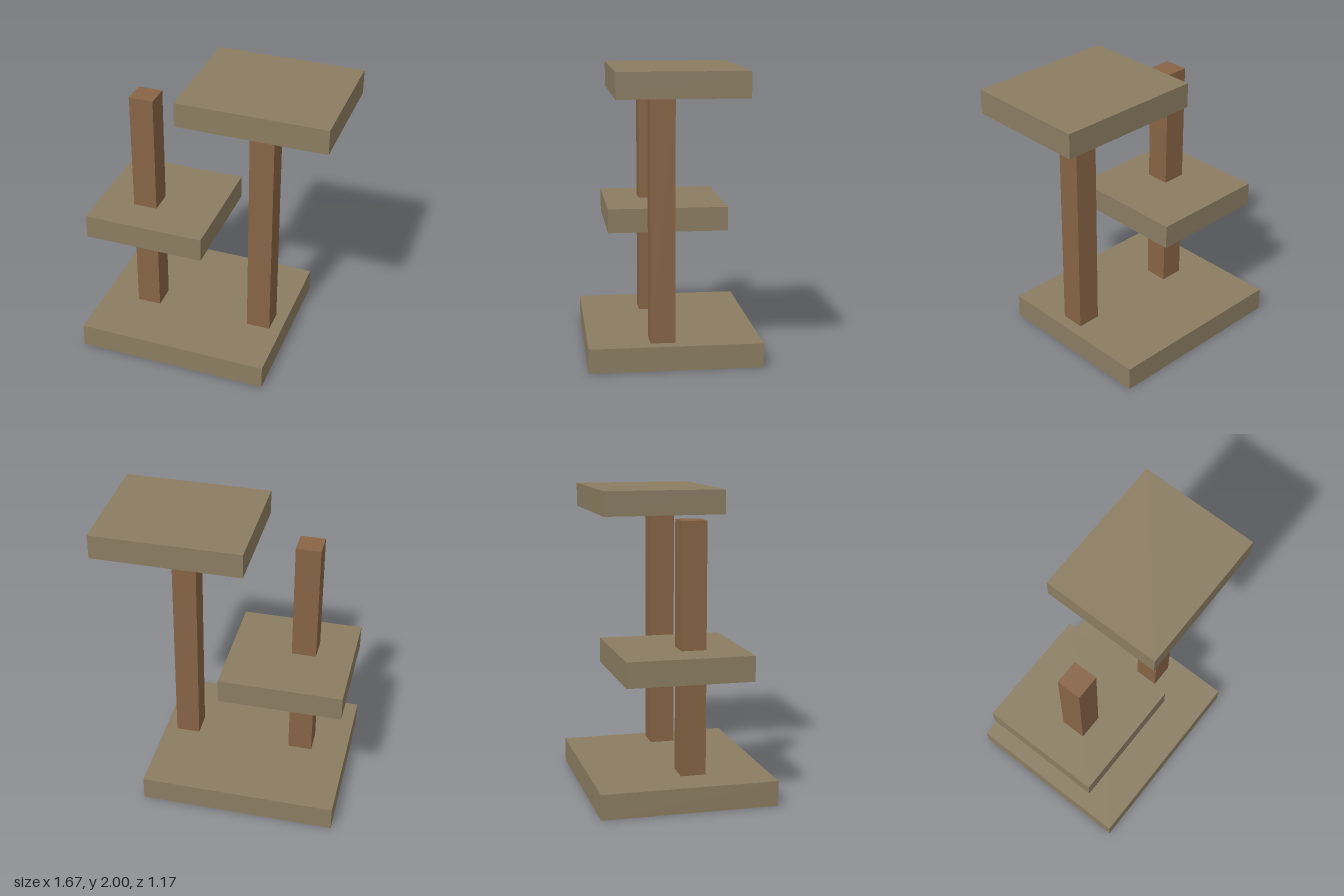
import * as THREE from 'three';

const UNIT = 1 / 12; // the whole tower sits on a 24-step grid

export function createModel() {
  const group = new THREE.Group();
  const carpet = new THREE.MeshStandardMaterial({ color: 0x8b7d62, flatShading: true });
  const wood = new THREE.MeshStandardMaterial({ color: 0x876446, flatShading: true });

  // Box spanning the given [min, max] ranges, in grid steps
  function addBox(name, material, x, y, z) {
    const size = [x, y, z].map(([a, b]) => (b - a) * UNIT);
    const centre = [x, y, z].map(([a, b]) => ((a + b) / 2) * UNIT);
    const mesh = new THREE.Mesh(new THREE.BoxGeometry(...size), material);
    mesh.position.set(...centre);
    mesh.name = name;
    group.add(mesh);
  }

  // Carpeted platforms
  addBox('base', carpet, [-10, 6], [0, 2], [-7, 7]);
  addBox('middlePlatform', carpet, [-10, 0], [10, 12], [-5, 5]);
  addBox('topPlatform', carpet, [-2, 10], [22, 24], [-5, 5]);

  // Square posts; the right one is split by the middle platform
  addBox('rightPostLower', wood, [-7, -5], [2, 10], [0, 2]);
  addBox('rightPostUpper', wood, [-7, -5], [12, 22], [0, 2]);
  addBox('leftPost', wood, [3, 5], [2, 22], [0, 2]);

  return group;
}
